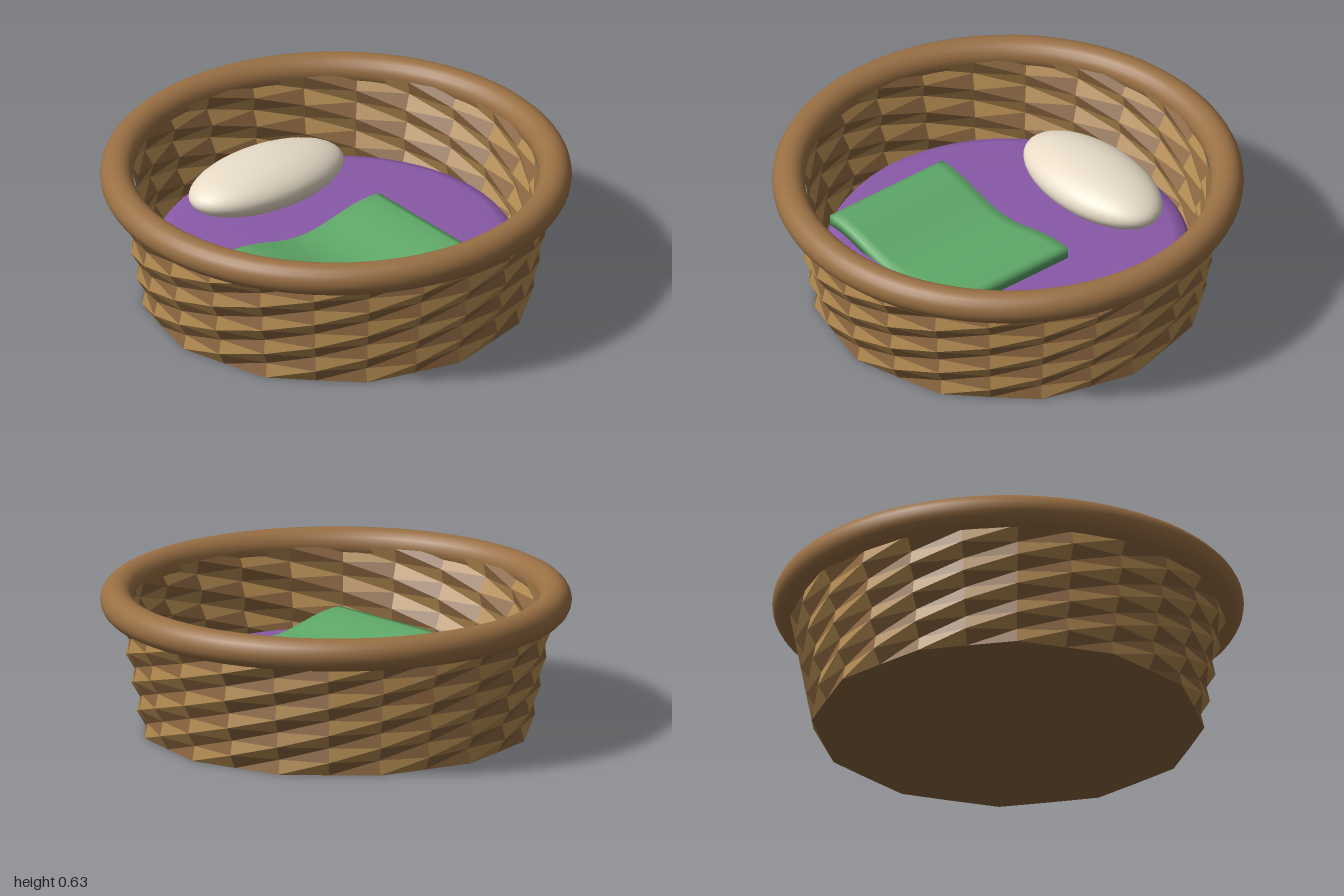
import * as THREE from 'three';
import { mergeVertices } from 'three/addons/utils/BufferGeometryUtils.js';

const COLS = 24, ROWS = 9, ROW_H = 0.0625;

const mat = (color, extra = {}) => new THREE.MeshStandardMaterial({ color, ...extra });

function add(parent, name, geometry, material) {
  const mesh = new THREE.Mesh(geometry, material);
  mesh.name = name;
  parent.add(mesh);
  return mesh;
}

// Corner of the weave: flaring wall whose strands step in and out alternately
function weavePoint(col, row, inset) {
  const angle = (col / COLS) * Math.PI * 2;
  const wave = (col + row) % 2 ? -0.013 : 0.013;
  const r = 0.82 + 0.19 * row * ROW_H - inset + wave;
  return [Math.sin(angle) * r, row * ROW_H, Math.cos(angle) * r];
}

// Every second cell of the checkerboard weave, on one side of the wall
function weaveGeometry(parity, inset, inward) {
  const pos = [];
  for (let row = 0; row < ROWS; row++) {
    for (let col = 0; col < COLS; col++) {
      if ((row + col) % 2 !== parity) continue;
      const a = weavePoint(col, row, inset), b = weavePoint(col + 1, row, inset);
      const c = weavePoint(col + 1, row + 1, inset), d = weavePoint(col, row + 1, inset);
      if (inward) pos.push(...a, ...c, ...b, ...a, ...d, ...c);
      else pos.push(...a, ...b, ...c, ...a, ...c, ...d);
    }
  }
  const g = new THREE.BufferGeometry();
  g.setAttribute('position', new THREE.Float32BufferAttribute(pos, 3));
  g.computeVertexNormals();
  return g;
}

// Soft blanket: a thin slab bent into a wave along x
function blanketGeometry() {
  let g = new THREE.BoxGeometry(0.83, 0.05, 0.62, 32, 2, 14);
  const p = g.attributes.position;
  for (let i = 0; i < p.count; i++) {
    const x = p.getX(i);
    p.setY(i, p.getY(i) + 0.03 * Math.cos(((x + 0.385) / 0.75) * Math.PI * 2));
  }
  g.deleteAttribute('normal');
  g.deleteAttribute('uv');
  g = mergeVertices(g);
  g.computeVertexNormals();
  return g;
}

export function createModel() {
  const model = new THREE.Group();
  model.name = 'petBasket';

  // Woven wall, outside and inside
  const wall = new THREE.Group();
  wall.name = 'wovenWall';
  model.add(wall);
  [0xb0884f, 0x8a653f].forEach((color, parity) => {
    const strand = mat(color, { flatShading: true });
    const shade = parity ? 'dark' : 'light';
    add(wall, shade + 'OuterWeave', weaveGeometry(parity, 0, false), strand);
    add(wall, shade + 'InnerWeave', weaveGeometry(parity, 0.06, true), strand);
  });

  // Flat floor that follows the wavy lower edge
  const outline = [];
  for (let col = 0; col < COLS; col++) {
    const [x, , z] = weavePoint(col, 0, 0);
    outline.push(new THREE.Vector2(x, z));
  }
  const floor = add(model, 'floor', new THREE.ShapeGeometry(new THREE.Shape(outline)),
    mat(0x8a653f, { side: THREE.DoubleSide }));
  floor.rotation.x = Math.PI / 2;

  // Thick round rim
  const rim = add(model, 'rim', new THREE.TorusGeometry(0.93, 0.07, 20, 96), mat(0x9a7044));
  rim.rotation.x = Math.PI / 2;
  rim.position.y = 0.56;

  // Round cushion with a soft edge
  const profile = [[0, 0.04], [0.7, 0.04], [0.75, 0.07], [0.78, 0.15], [0.775, 0.2],
    [0.75, 0.235], [0.7, 0.25], [0.5, 0.256], [0, 0.258]].map(([r, y]) => new THREE.Vector2(r, y));
  add(model, 'cushion', new THREE.LatheGeometry(profile, 64), mat(0x8a5aa8));

  // Oval pillow at the back
  const pillow = add(model, 'pillow', new THREE.SphereGeometry(1, 40, 24), mat(0xe8dcc8));
  pillow.scale.set(0.39, 0.11, 0.205);
  pillow.position.set(0, 0.34, -0.47);

  // Folded blanket at the front
  const blanket = add(model, 'blanket', blanketGeometry(), mat(0x5fa868));
  blanket.position.set(-0.115, 0.275, 0.23);

  return model;
}
